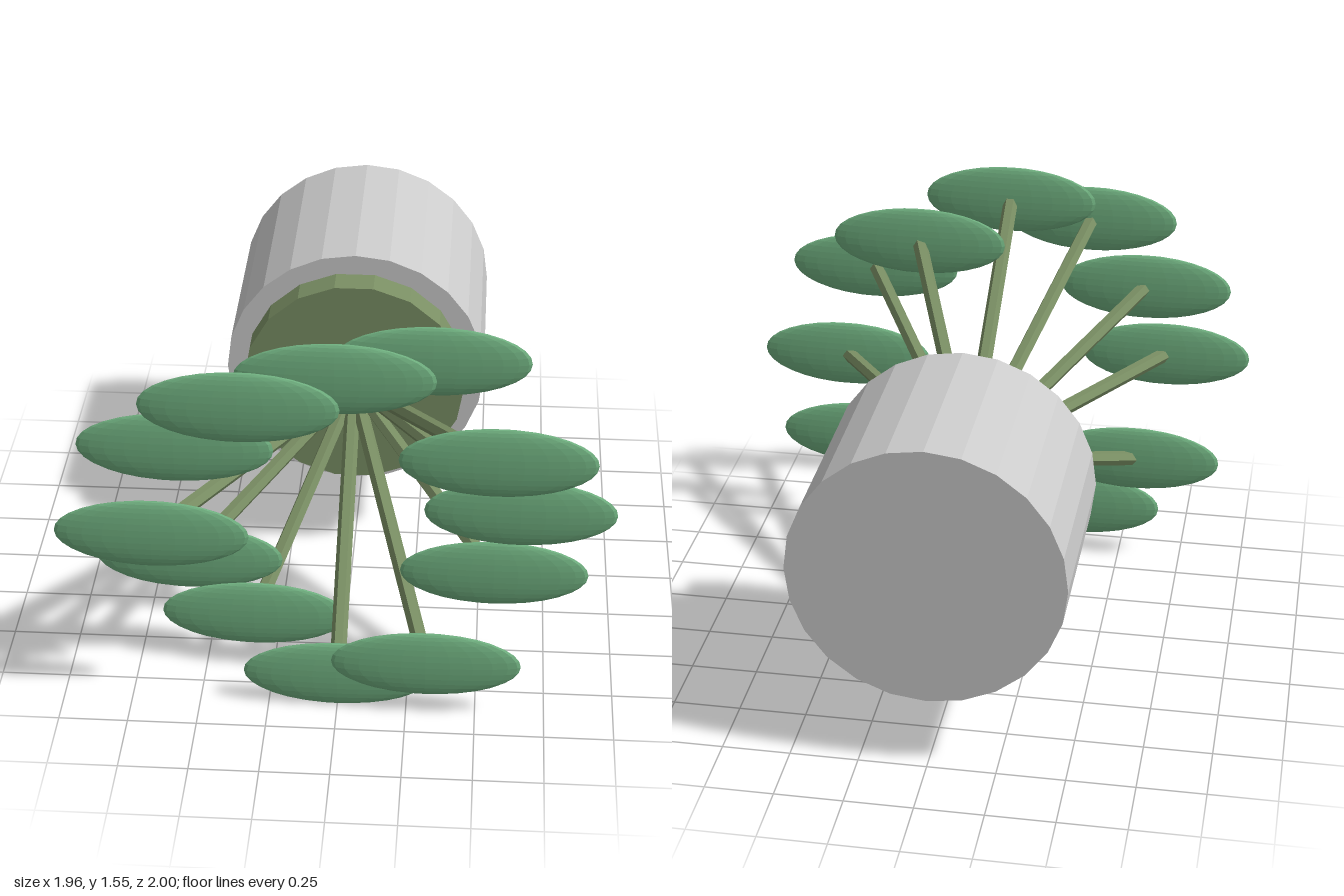
import * as THREE from 'three';

const CENTRE_Y = 0.775;
const HUB_Z = -0.115;
const RING_RADIUS = 0.64;
// Depth of each leaf, anticlockwise from +x in 30 degree steps
const LEAF_Z = [0.72, 0.895, 0.63, 0.91, 0.97, 0.865, 0.925, 0.605, 0.62, 0.85, 0.885, 0.64];

const material = (color) => new THREE.MeshStandardMaterial({ color, flatShading: true });

// Cylinder lying along z, with a corner on the +x axis
function zCylinder(radius, length, sides) {
  return new THREE.CylinderGeometry(radius, radius, length, sides, 1, false, Math.PI / 2).rotateX(Math.PI / 2);
}

function addMesh(parent, name, geometry, mat, x, y, z) {
  const mesh = new THREE.Mesh(geometry, mat);
  mesh.name = name;
  mesh.position.set(x, y, z);
  parent.add(mesh);
  return mesh;
}

export function createModel() {
  const model = new THREE.Group();
  model.name = 'pottedPlant';
  const grey = material(0xcccccc);
  const olive = material(0x7a8f64);
  const green = material(0x70b080);

  // Pot and the disc of soil at its mouth
  addMesh(model, 'pot', zCylinder(0.495, 0.775, 24), grey, 0, CENTRE_Y, -0.6125);
  addMesh(model, 'soilDisc', zCylinder(0.422, 0.13, 18), olive, 0, CENTRE_Y, HUB_Z - 0.065);

  // Stems fan out from the disc centre, each ending in a flat oval leaf
  const leafGeometry = new THREE.SphereGeometry(1, 24, 16).scale(0.34, 0.135, 0.028);
  const hub = new THREE.Vector3(0, CENTRE_Y, HUB_Z);
  LEAF_Z.forEach((z, i) => {
    const angle = (i / LEAF_Z.length) * Math.PI * 2;
    const tip = new THREE.Vector3(
      RING_RADIUS * Math.cos(angle), CENTRE_Y + RING_RADIUS * Math.sin(angle), z);
    const branch = new THREE.Group();
    branch.name = `branch${i + 1}`;
    const middle = hub.clone().add(tip).multiplyScalar(0.5);
    const stem = addMesh(branch, 'stem', zCylinder(0.029, hub.distanceTo(tip), 6), olive, ...middle.toArray());
    stem.lookAt(tip);
    addMesh(branch, 'leaf', leafGeometry, green, ...tip.toArray());
    model.add(branch);
  });

  return model;
}
